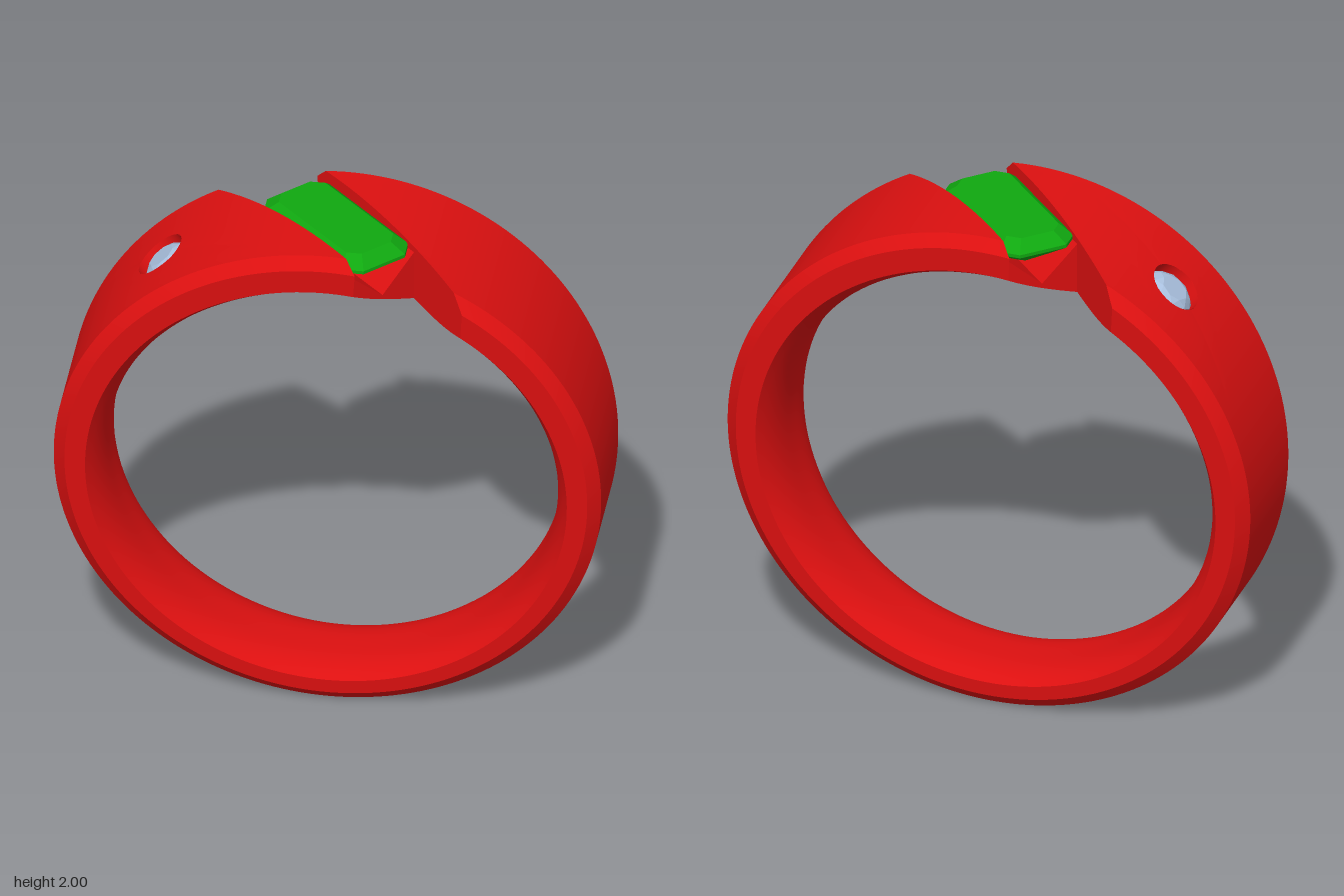
import * as THREE from 'three';
import { mergeGeometries, toCreasedNormals } from 'three/addons/utils/BufferGeometryUtils.js';
import { ConvexGeometry } from 'three/addons/geometries/ConvexGeometry.js';

const TAU = Math.PI * 2;
const STEPS = 168;      // steps around the band
const ACROSS = 16;      // steps across the band
const SLOT = 0.2;       // the diagonal slot is |x - z| < SLOT
const STONE = 0.7;      // tilt of the small round stone

const halfWidth = (y) => 0.177 + 0.071 * y;   // band widens towards the top

// A profile point: circle radius and centre height, inset from the flank, side fraction t
const outerP = (t) => ({ r: 1, cy: 1, inset: 0.04, t });
const bevelP = (t) => ({ r: 0.955, cy: 1, inset: 0, t });
const innerP = (t) => {
  const k = Math.abs(t) ** 3;                 // rounded comfort fit
  return { r: 0.823 + 0.057 * k, cy: 0.962 + 0.018 * k, inset: 0, t };
};

const zAt = (p, a) => p.t * (halfWidth(p.cy + p.r * Math.cos(a)) - p.inset);
const place = (r, cy, a, z) => [r * Math.sin(a), cy + r * Math.cos(a), z];

// Angle at which a profile point meets the slot wall x - z = c
function cutAngle(p, c) {
  let a = 0;
  for (let i = 0; i < 12; i++) a = Math.asin((c + zAt(p, a)) / p.r);
  return a;
}

function indexed(positions, index) {
  const g = new THREE.BufferGeometry();
  g.setAttribute('position', new THREE.Float32BufferAttribute(positions, 3));
  g.setIndex(index);
  g.computeVertexNormals();
  return g;
}

// Sweep a strip of profile points around the band, optionally leaving a round hole
function sweep(profile, hole) {
  const rows = STEPS + 1, verts = [], pos = [], index = [];
  for (const p of profile) {
    const a0 = cutAngle(p, SLOT), a1 = TAU + cutAngle(p, -SLOT);
    for (let i = 0; i < rows; i++) {
      const a = a0 + (a1 - a0) * i / STEPS, z = zAt(p, a);
      verts.push({ a, z, r: p.r, cy: p.cy });
      pos.push(...place(p.r, p.cy, a, z));
    }
  }
  const id = (i, j) => j * rows + i;
  let i0 = -1, i1 = -1, j0 = -1, j1 = -1;
  const mid = (profile.length - 1) / 2;
  if (hole) {
    const s = cutAngle(profile[mid], SLOT);
    const centre = Math.round((hole.angle - s) / (TAU - 2 * s) * STEPS);
    [i0, i1, j0, j1] = [centre - hole.di, centre + hole.di, mid - hole.dj, mid + hole.dj];
  }
  for (let j = 0; j < profile.length - 1; j++) {
    for (let i = 0; i < STEPS; i++) {
      if (i >= i0 && i < i1 && j >= j0 && j < j1) continue;
      const a = id(i, j), b = id(i + 1, j), c = id(i + 1, j + 1), d = id(i, j + 1);
      index.push(a, d, c, a, c, b);
    }
  }
  if (hole) {
    // Rings running from the edge of the open block in to the circle
    let ring = [];
    for (let i = i0; i < i1; i++) ring.push(id(i, j0));
    for (let j = j0; j < j1; j++) ring.push(id(i1, j));
    for (let i = i1; i > i0; i--) ring.push(id(i, j1));
    for (let j = j1; j > j0; j--) ring.push(id(i0, j));
    const edge = ring.map((k) => verts[k]);
    const { r, cy } = profile[mid];
    for (let m = 1; m <= 3; m++) {
      const f = m / 3, base = pos.length / 3;
      const next = edge.map((v, k) => {
        const da = (v.a - hole.angle) * r, len = Math.hypot(da, v.z);
        const a = hole.angle + da / len * hole.radius / r, z = v.z / len * hole.radius;
        const mix = THREE.MathUtils.lerp;
        pos.push(...place(mix(v.r, r, f), mix(v.cy, cy, f), mix(v.a, a, f), mix(v.z, z, f)));
        return base + k;
      });
      ring.forEach((o, k) => {
        const q = (k + 1) % ring.length;
        index.push(o, next[k], next[q], o, next[q], ring[q]);
      });
      ring = next;
    }
  }
  return indexed(pos, index);
}

// Flat wall closing one end of the band
function endWall(strips, c) {
  const pts = strips.flatMap((s) => s.slice(0, -1)).map((p) => {
    const a = cutAngle(p, c);
    return place(p.r, p.cy, a, zAt(p, a));
  });
  const flat = pts.map(([x, y, z]) => new THREE.Vector2(x + z, y));
  return indexed(pts.flat(), THREE.ShapeUtils.triangulateShape(flat, []).flat());
}

function bandGeometry() {
  const ts = Array.from({ length: ACROSS + 1 }, (_, i) => -1 + 2 * i / ACROSS);
  const outer = ts.map(outerP), inner = ts.map((t) => innerP(-t));
  const strips = [
    outer, [outerP(1), bevelP(1)], [bevelP(1), innerP(1)],
    inner, [innerP(-1), bevelP(-1)], [bevelP(-1), outerP(-1)],
  ];
  const holes = new Map([
    [outer, { angle: TAU - STONE, radius: 0.1, di: 6, dj: 5 }],
    [inner, { angle: TAU - 0.67, radius: 0.03, di: 3, dj: 2 }],
  ]);
  return mergeGeometries([
    ...strips.map((s) => sweep(s, holes.get(s))),
    endWall(strips, SLOT), endWall(strips, -SLOT),
  ]);
}

// Height of the inside of the band above a point of the plan
function innerHeight(x, z) {
  let y = 1.78;
  for (let i = 0; i < 8; i++) {
    const p = innerP(Math.min(1, Math.abs(z) / halfWidth(y)));
    y = p.cy + Math.sqrt(p.r * p.r - x * x);
  }
  return y;
}

// Bridge under the large stone, with a V groove along the slot
function bridgeGeometry() {
  const w = SLOT * Math.SQRT2;
  const g = new THREE.BoxGeometry(w, 1, 2 * w, 12, 1, 16).rotateY(Math.PI / 4);
  const pos = g.attributes.position;
  for (let i = 0; i < pos.count; i++) {
    const x = pos.getX(i), z = pos.getZ(i), low = innerHeight(x, z);
    const top = 1.8 + 0.13 * Math.abs(x - z) / SLOT;
    pos.setY(i, pos.getY(i) > 0 ? Math.max(top, low + 0.005) : low);
  }
  return toCreasedNormals(g, 0.5);
}

// Step-cut stone from octagon levels: height, half width, half length, corner cut
function stepCutGeometry() {
  const levels = [
    [1.985, 0.105, 0.245, 0.04], [1.945, 0.148, 0.293, 0.055],
    [1.932, 0.148, 0.293, 0.055], [1.88, 0.085, 0.22, 0.03], [1.83, 0.006, 0.15, 0.003],
  ];
  const pts = [];
  for (const [y, w, l, c] of levels)
    for (const sx of [-1, 1])
      for (const sz of [-1, 1])
        pts.push(new THREE.Vector3(sx * w, y, sz * (l - c)), new THREE.Vector3(sx * (w - c), y, sz * l));
  return new ConvexGeometry(pts).rotateY(Math.PI / 4);
}

// Round brilliant: table, two girdle rings and a point
function brilliantGeometry() {
  const pts = [new THREE.Vector3(0, -0.11, 0)];
  const ring = (n, r, y, turn) => {
    for (let i = 0; i < n; i++) {
      const a = (i + turn) / n * TAU;
      pts.push(new THREE.Vector3(r * Math.cos(a), y, r * Math.sin(a)));
    }
  };
  ring(8, 0.055, -0.008, 0);
  ring(8, 0.079, -0.021, 0.5);
  ring(16, 0.097, -0.04, 0);
  ring(16, 0.097, -0.045, 0);
  return new ConvexGeometry(pts);
}

export function createModel() {
  const model = new THREE.Group();
  model.name = 'ring';
  const metal = new THREE.MeshStandardMaterial({ color: 0xdd1010, side: THREE.DoubleSide });
  const green = new THREE.MeshStandardMaterial({ color: 0x10a810, flatShading: true });
  const pale = new THREE.MeshStandardMaterial({ color: 0xa9c0de, flatShading: true });
  const add = (parent, name, geometry, material) => {
    const mesh = new THREE.Mesh(geometry, material);
    mesh.name = name;
    parent.add(mesh);
  };
  add(model, 'band', bandGeometry(), metal);
  add(model, 'bridge', bridgeGeometry(), metal);
  add(model, 'largeStone', stepCutGeometry(), green);

  // Small round stone sunk into a drilled seat
  const setting = new THREE.Group();
  setting.name = 'smallStoneSetting';
  setting.position.set(-Math.sin(STONE), 1 + Math.cos(STONE), 0);
  setting.rotation.z = STONE;
  const seat = [[0.03, -0.206], [0.03, -0.125], [0.1, -0.048], [0.1, -0.002]]
    .map(([x, y]) => new THREE.Vector2(x, y));
  add(setting, 'seat', toCreasedNormals(new THREE.LatheGeometry(seat, 32), 0.5), metal);
  add(setting, 'smallStone', brilliantGeometry(), pale);
  model.add(setting);
  return model;
}
